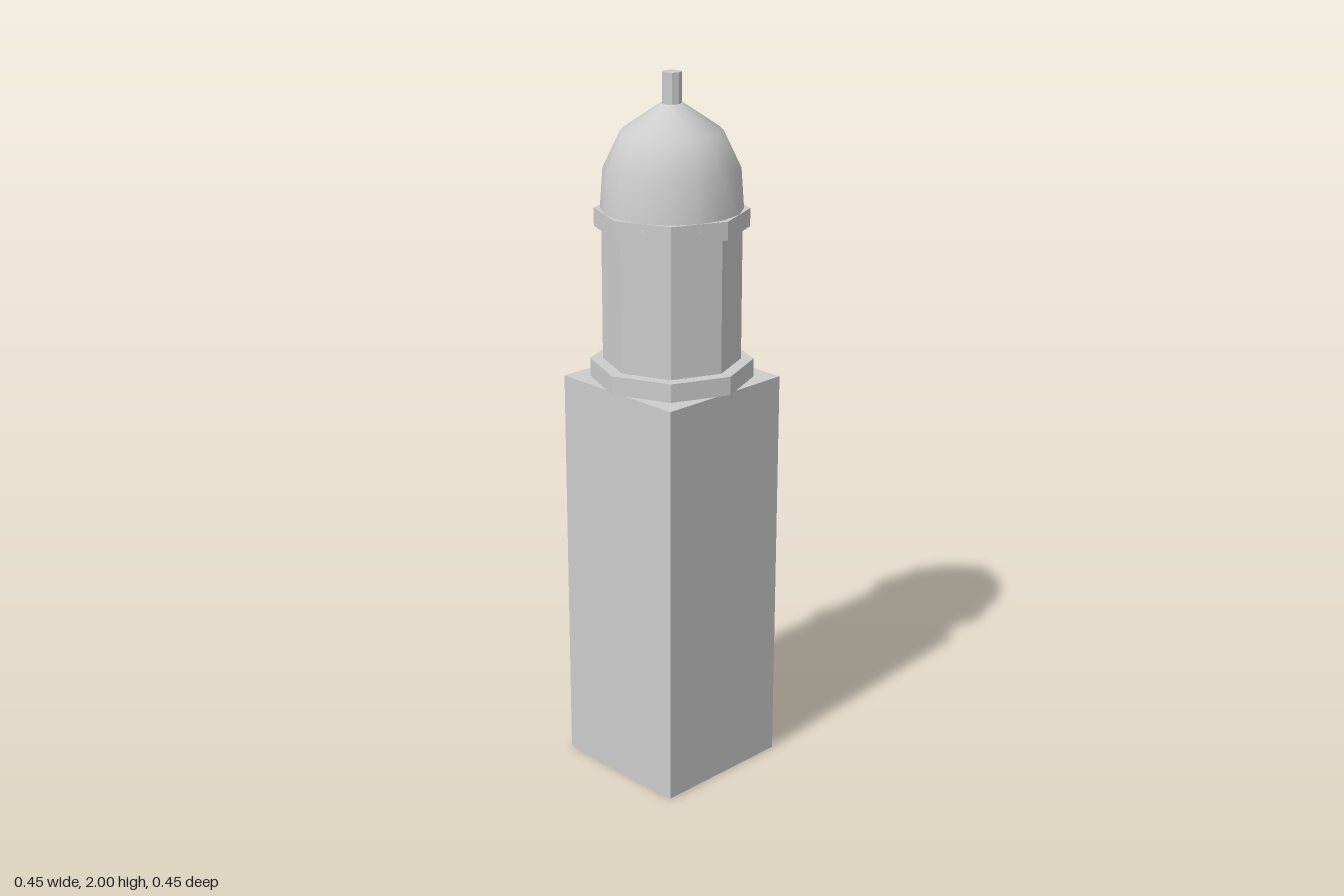
import * as THREE from 'three';

export function createModel() {
  const model = new THREE.Group();
  const stone = new THREE.MeshStandardMaterial({ color: 0xcccccc, side: THREE.DoubleSide });
  stone.name = 'pale grey stone';

  const add = (name, geometry, y = 0) => {
    const mesh = new THREE.Mesh(geometry, stone);
    mesh.name = name;
    mesh.position.y = y;
    model.add(mesh);
    return mesh;
  };

  // Eight-sided prism with its corners on the x and z axes
  const octagon = (name, radius, bottom, top) => {
    const geometry = new THREE.CylinderGeometry(radius, radius, top - bottom, 8).toNonIndexed();
    geometry.computeVertexNormals();
    add(name, geometry, (bottom + top) / 2);
  };

  // Square shaft: hollow, open underneath (drop the six indices of the bottom face)
  const shaft = new THREE.BoxGeometry(0.42, 1.16, 0.42);
  const faces = Array.from(shaft.index.array);
  faces.splice(18, 6);
  shaft.setIndex(faces);
  shaft.clearGroups();
  add('shaft', shaft, 0.58);

  // Octagonal lantern between two projecting rings
  octagon('lowerRing', 0.225, 1.16, 1.212);
  octagon('lantern', 0.19, 1.212, 1.585);
  octagon('upperRing', 0.21, 1.585, 1.635);

  // Smooth sixteen-sided dome with a small flat cap
  const profile = [[0.195, 1.61], [0.185, 1.745], [0.137, 1.845], [0.032, 1.917]]
    .map(([r, y]) => new THREE.Vector2(r, y));
  add('dome', new THREE.LatheGeometry(profile, 16));
  add('domeCap', new THREE.CircleGeometry(0.032, 16).rotateX(-Math.PI / 2), 1.917);

  // Finial
  octagon('finial', 0.026, 1.9, 2);

  return model;
}
